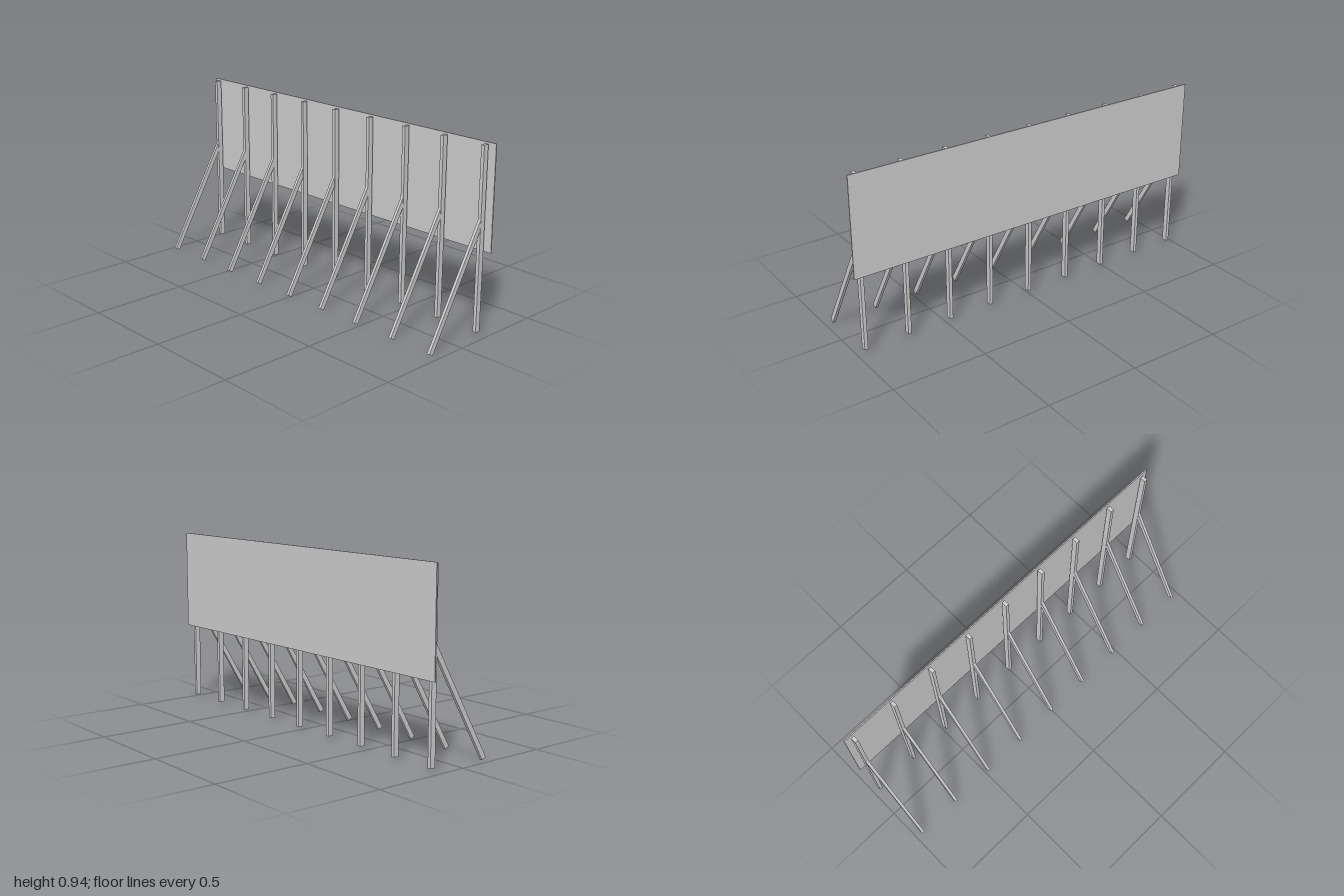
import * as THREE from 'three';

export function createModel() {
  const model = new THREE.Group();
  const material = new THREE.MeshStandardMaterial({ color: 0xcccccc, flatShading: true });

  function addBox(parent, name, size, position, tilt = 0) {
    const mesh = new THREE.Mesh(new THREE.BoxGeometry(...size), material);
    mesh.name = name;
    mesh.position.set(...position);
    mesh.rotation.z = tilt;
    parent.add(mesh);
  }

  // Thin display board, standing just clear of the posts
  addBox(model, 'board', [0.006, 0.523, 2], [0.1825, 0.6815, 0]);

  // Brace: square-cut bar leaning at 60 degrees, its top end buried in the post
  const angle = Math.PI / 3;
  const length = 0.66;
  const width = 0.026;
  const foot = { x: -0.174, y: 0.0065 };
  const braceCentre = [
    foot.x + Math.cos(angle) * length / 2,
    foot.y + Math.sin(angle) * length / 2,
    0,
  ];

  // Nine evenly spaced supports, each an upright post with a rear brace
  const count = 9;
  const spacing = 0.239;
  for (let i = 0; i < count; i++) {
    const support = new THREE.Group();
    support.name = `support${i + 1}`;
    support.position.z = (i - (count - 1) / 2) * spacing - 0.002;
    addBox(support, 'post', [0.0285, 0.916, 0.018], [0.1565, 0.478, 0]);
    addBox(support, 'brace', [length, width, 0.015], braceCentre, angle);
    model.add(support);
  }

  return model;
}
